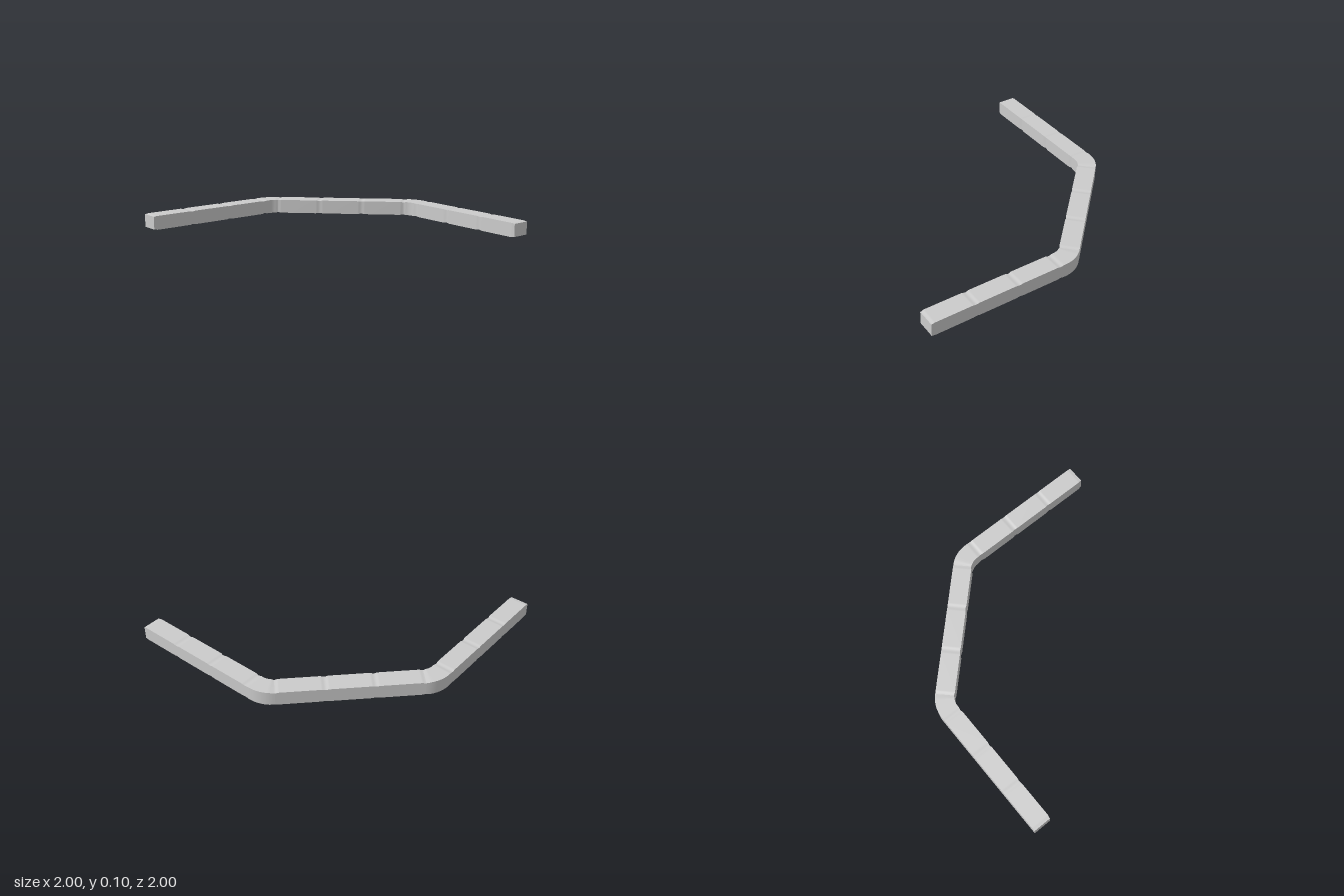
import * as THREE from 'three';

const HALF = 0.07, HEIGHT = 0.105, ARM = 1.04, DIAG = 1.018, RADIUS = 0.17;
const BEND = Math.PI / 4, ARC = RADIUS * BEND, SEAM = 0.03, DEPTH = 0.004;
const DIAG_START = ARM + ARC, ARM2_START = DIAG_START + DIAG + ARC;
const TOTAL = ARM2_START + ARM;

// Distances along the run where modules meet
const seams = [];
for (let i = 0; i <= 3; i++) {
  seams.push(i / 3, DIAG_START + (DIAG * i) / 3, TOTAL - i / 3);
}

// Shallow smooth dip around every seam
function inset(s) {
  const d = Math.min(...seams.map((m) => Math.abs(m - s)));
  return d < SEAM ? DEPTH * 0.5 * (1 + Math.cos((Math.PI * d) / SEAM)) : 0;
}

// Cross-section at one point: outer bottom, inner bottom, inner top, outer top
function section(p, heading, s) {
  const k = inset(s);
  const rx = Math.cos(heading), rz = Math.sin(heading);
  return [[-HALF, k], [HALF - k, k], [HALF - k, HEIGHT - k], [-HALF, HEIGHT - k]]
    .map(([u, y]) => [p.x + u * rx, y, p.z + u * rz]);
}

// Skin a list of sections; each side keeps its own vertices for sharp edges
function loft(sections, capStart, capEnd) {
  const pos = [], idx = [];
  for (let e = 0; e < 4; e++) {
    const base = pos.length / 3;
    sections.forEach((r) => pos.push(...r[e], ...r[(e + 1) % 4]));
    for (let i = 0; i < sections.length - 1; i++) {
      const a = base + i * 2, b = a + 1, an = a + 2, bn = a + 3;
      idx.push(a, an, bn, a, bn, b);
    }
  }
  const cap = (r, order) => {
    const base = pos.length / 3;
    r.forEach((v) => pos.push(...v));
    order.forEach((i) => idx.push(base + i));
  };
  if (capStart) cap(sections[0], [0, 1, 2, 0, 2, 3]);
  if (capEnd) cap(sections[sections.length - 1], [0, 2, 1, 0, 3, 2]);
  const g = new THREE.BufferGeometry();
  g.setAttribute('position', new THREE.Float32BufferAttribute(pos, 3));
  g.setIndex(idx);
  g.computeVertexNormals();
  return g;
}

export function createModel() {
  const group = new THREE.Group();
  const material = new THREE.MeshStandardMaterial({ color: 0xcccccc });
  const parts = [
    { name: 'rightArm', length: ARM, turn: 0 },
    { name: 'frontBend', length: ARC, turn: BEND },
    { name: 'diagonalRun', length: DIAG, turn: 0 },
    { name: 'backBend', length: ARC, turn: BEND },
    { name: 'backArm', length: ARM, turn: 0 },
  ];

  // Walk along the centre line, laying one part after another
  const p = { x: -1 + HALF, z: 1 };
  let heading = 0, travelled = 0;
  parts.forEach(({ name, length, turn }, n) => {
    // Stations: even steps on bends, extra ones around seams on straights
    const stations = new Set([0, length]);
    if (turn) {
      for (let i = 1; i < 10; i++) stations.add((length * i) / 10);
    } else {
      seams.forEach((m) => {
        for (let i = -4; i <= 4; i++) {
          const d = m - travelled + (SEAM * i) / 4;
          if (d > 0.001 && d < length - 0.001) stations.add(d);
        }
      });
    }
    const pointAt = (d) => {
      const h = heading + (turn * d) / length;
      if (!turn) return [{ x: p.x + d * Math.sin(h), z: p.z - d * Math.cos(h) }, h];
      return [{
        x: p.x + RADIUS * (Math.cos(heading) - Math.cos(h)),
        z: p.z + RADIUS * (Math.sin(heading) - Math.sin(h)),
      }, h];
    };
    const sections = [...stations].sort((a, b) => a - b)
      .map((d) => section(...pointAt(d), travelled + d));
    const mesh = new THREE.Mesh(loft(sections, n === 0, n === parts.length - 1), material);
    mesh.name = name;
    group.add(mesh);
    const [end, h] = pointAt(length);
    Object.assign(p, end);
    heading = h;
    travelled += length;
  });
  return group;
}
